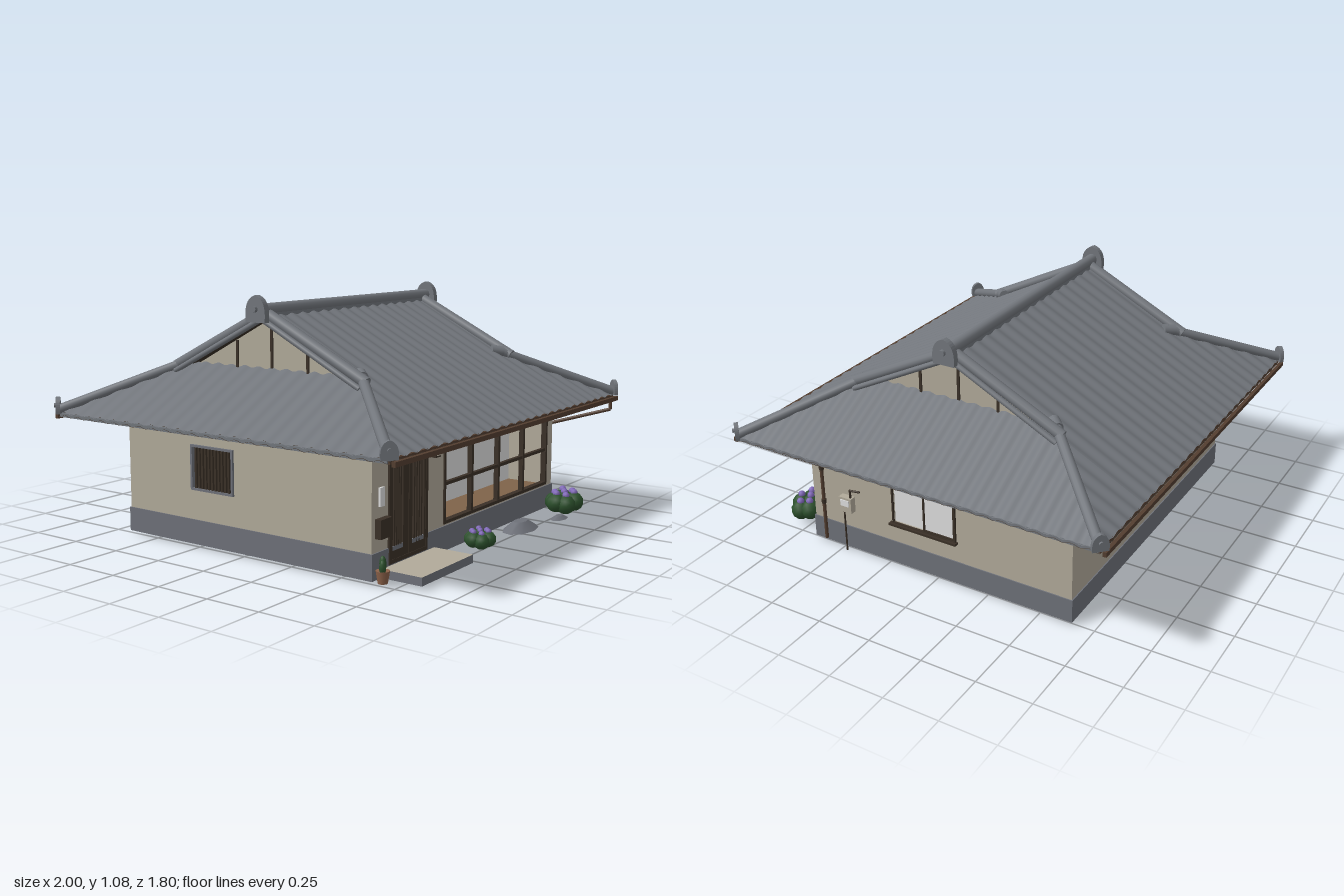
import * as THREE from 'three';

const mat = (name, color, side = THREE.FrontSide) => {
  const m = new THREE.MeshStandardMaterial({ color, side });
  m.name = name;
  return m;
};

export function createModel() {
  const root = new THREE.Group();
  const tile = mat('roof tile', 0x72767c, THREE.DoubleSide);
  const plaster = mat('plaster', 0xb1aa9a);
  const concrete = mat('concrete', 0x6e7179);
  const wood = mat('dark wood', 0x3a3027, THREE.DoubleSide);
  const copper = mat('gutter brown', 0x533e30);
  const boards = mat('floor boards', 0x7f6349);
  const paper = mat('paper and glass', 0xdedede);
  const leaf = mat('leaf green', 0x2c502c);
  const petal = mat('purple petal', 0x8068b8);
  const clay = mat('clay', 0x8c624a);

  const add = (name, geo, m, parent = root) => {
    const mesh = new THREE.Mesh(geo, m);
    mesh.name = name;
    parent.add(mesh);
    return mesh;
  };
  const group = (name, rotY = 0, parent = root) => {
    const g = new THREE.Group();
    g.name = name;
    g.rotation.y = rotY;
    parent.add(g);
    return g;
  };
  // Box given by its limits on each axis
  const box = (name, m, x0, x1, y0, y1, z0, z1, parent) => {
    const b = add(name, new THREE.BoxGeometry(x1 - x0, y1 - y0, z1 - z0), m, parent);
    b.position.set((x0 + x1) / 2, (y0 + y1) / 2, (z0 + z1) / 2);
    return b;
  };
  // Round bar between two points
  const rod = (name, m, a, b, r, parent, sides = 12) => {
    const p = new THREE.Vector3(...a), q = new THREE.Vector3(...b);
    const c = add(name, new THREE.CylinderGeometry(r, r, p.distanceTo(q), sides), m, parent);
    c.position.copy(p).add(q).multiplyScalar(0.5);
    c.quaternion.setFromUnitVectors(new THREE.Vector3(0, 1, 0), q.sub(p).normalize());
    return c;
  };

  // ---- Walls: each side is a group whose local +z points outward
  const side = (name, rot, half, out, holes) => {
    const g = group(name, rot);
    const s = new THREE.Shape();
    s.moveTo(-half, 0.1).lineTo(half, 0.1).lineTo(half, 0.65).lineTo(-half, 0.65).closePath();
    for (const [a, b, c, d] of holes) {
      const h = new THREE.Path();
      h.moveTo(a, c).lineTo(a, d).lineTo(b, d).lineTo(b, c).closePath();
      s.holes.push(h);
    }
    const geo = new THREE.ExtrudeGeometry(s, { depth: 0.02, bevelEnabled: false });
    geo.translate(0, 0, out - 0.02);
    add('wall', geo, plaster, g);
    return g;
  };
  const frame = (g, m, x0, x1, y0, y1, z0, z1, w) => {
    box('frameLeft', m, x0, x0 + w, y0, y1, z0, z1, g);
    box('frameRight', m, x1 - w, x1, y0, y1, z0, z1, g);
    box('frameTop', m, x0 + w, x1 - w, y1 - w, y1, z0, z1, g);
    box('frameBottom', m, x0 + w, x1 - w, y0, y0 + w, z0, z1, g);
  };
  const front = side('frontWall', 0, 0.76, 0.65, [[-0.64, -0.38, 0.11, 0.5], [-0.23, 0.69, 0.135, 0.505]]);
  const right = side('rightWall', Math.PI / 2, 0.65, 0.76, [[-0.21, 0.095, 0.225, 0.45]]);
  const back = side('backWall', Math.PI, 0.76, 0.65, [[-0.23, 0.08, 0.24, 0.4]]);
  const left = side('leftWall', -Math.PI / 2, 0.65, 0.76, [[-0.27, -0.05, 0.26, 0.44]]);
  for (const [g, half, out] of [[front, 0.765, 0.655], [right, 0.635, 0.765], [back, 0.765, 0.655], [left, 0.635, 0.765]])
    box('foundation', concrete, -half, half, 0.015, 0.122, out - 0.025, out, g);

  // ---- Sliding entrance door
  frame(front, wood, -0.65, -0.37, 0.055, 0.51, 0.625, 0.658, 0.016);
  for (const [x0, x1] of [[-0.634, -0.512], [-0.508, -0.386]]) {
    const inner = x0 < -0.6 ? [-0.624, -0.55] : [-0.485, -0.396];
    box('doorPane', paper, inner[0], inner[1], 0.1, 0.49, 0.637, 0.645, front);
    box('doorStile', wood, x0, inner[0], 0.071, 0.494, 0.63, 0.656, front);
    box('doorStile', wood, inner[1], x1, 0.071, 0.494, 0.63, 0.656, front);
    box('doorRail', wood, inner[0], inner[1], 0.071, 0.105, 0.63, 0.656, front);
    for (let i = 1; i <= 4; i++) {
      const x = inner[0] + (inner[1] - inner[0]) * i / 5;
      box('doorBar', wood, x - 0.004, x + 0.004, 0.105, 0.494, 0.645, 0.655, front);
    }
  }

  // ---- Veranda windows, floor and paper screen
  frame(front, wood, -0.24, 0.7, 0.13, 0.51, 0.63, 0.656, 0.014);
  box('windowLintel', wood, -0.25, 0.71, 0.505, 0.522, 0.635, 0.668, front);
  for (const x of [-0.005, 0.23, 0.465]) box('windowPost', wood, x - 0.008, x + 0.008, 0.14, 0.5, 0.632, 0.654, front);
  box('windowRail', wood, -0.23, 0.69, 0.293, 0.307, 0.634, 0.652, front);
  box('verandaFloor', boards, -0.24, 0.74, 0.1, 0.12, 0.43, 0.632);
  box('paperScreen', paper, -0.24, 0.74, 0.1, 0.52, 0.422, 0.43);

  // ---- Right window (local x runs towards the back)
  frame(right, wood, -0.218, 0.103, 0.217, 0.455, 0.745, 0.77, 0.006);
  box('windowSill', wood, -0.23, 0.11, 0.21, 0.22, 0.745, 0.782, right);
  box('windowPaneFront', paper, -0.212, -0.055, 0.223, 0.449, 0.748, 0.756, right);
  box('windowPaneBack', paper, -0.055, 0.097, 0.223, 0.449, 0.752, 0.76, right);
  frame(right, wood, -0.06, 0.097, 0.223, 0.449, 0.75, 0.767, 0.007);

  // ---- Left window with a lattice
  box('latticePane', paper, -0.27, -0.05, 0.26, 0.44, 0.742, 0.748, left);
  frame(left, concrete, -0.278, -0.042, 0.252, 0.448, 0.745, 0.77, 0.01);
  for (let i = 1; i < 12; i++) {
    const x = -0.27 + i * 0.0183;
    box('latticeBar', wood, x - 0.005, x + 0.005, 0.262, 0.438, 0.752, 0.766, left);
  }

  // ---- Small wall fittings
  box('intercom', paper, -0.715, -0.685, 0.3, 0.375, 0.65, 0.66, front);
  box('mailbox', wood, -0.738, -0.66, 0.178, 0.255, 0.65, 0.678, front);
  box('porchLamp', wood, -0.336, -0.298, 0.43, 0.472, 0.65, 0.672, front);
  box('lampGlass', plaster, -0.327, -0.307, 0.438, 0.462, 0.67, 0.677, front);
  box('meterBox', plaster, -0.487, -0.423, 0.208, 0.28, 0.76, 0.79, right);
  box('meterGlass', paper, -0.477, -0.433, 0.24, 0.27, 0.788, 0.794, right);
  rod('meterPipe', wood, [-0.473, 0, 0.775], [-0.473, 0.21, 0.775], 0.004, right);
  rod('meterCable', wood, [-0.435, 0.27, 0.775], [-0.435, 0.318, 0.775], 0.005, right);
  rod('meterCable', wood, [-0.435, 0.315, 0.775], [-0.39, 0.315, 0.765], 0.005, right);

  // ---- Roof: wavy slopes, columns run from the top line down to the eave
  const rise = 0.5175, eaveY = 0.553;
  const slope = (cols, eave) => {
    const pos = [], idx = [];
    cols.forEach(([s, top], i) => {
      const wave = 0.0045 * Math.cos(s * Math.PI * 2 / 0.075);
      pos.push(s, eaveY + rise * (eave - top) + wave, top, s, eaveY + wave, eave);
      if (i) idx.push(2 * i - 1, 2 * i + 1, 2 * i - 2, 2 * i + 1, 2 * i, 2 * i - 2);
    });
    const geo = new THREE.BufferGeometry();
    geo.setAttribute('position', new THREE.Float32BufferAttribute(pos, 3));
    geo.setIndex(idx);
    geo.computeVertexNormals();
    return geo;
  };
  const columns = (half, topAt, jump) => {
    const cols = [], n = 194;
    for (let i = 0; i <= n; i++) {
      const s = -half + 2 * half * i / n;
      cols.push([s, topAt(Math.abs(s))]);
    }
    if (jump) for (const k of [-1, 1]) cols.push([k * (jump + 1e-4), topAt(jump + 1e-4)], [k * jump, topAt(jump)]);
    return cols.sort((a, b) => a[0] - b[0]);
  };
  const mainSlope = slope(columns(0.97, x => (x > 0.6 ? x - 0.1 : 0), 0.6), 0.87);
  const sideSlope = slope(columns(0.87, z => Math.max(0.55, z + 0.1)), 0.97);
  for (const k of [0, 1]) {
    const main = group('mainRoof', k * Math.PI);
    const flank = group('sideRoof', Math.PI / 2 + k * Math.PI);
    for (const [g, geo] of [[main, mainSlope], [flank, sideSlope]]) {
      add('roofTiles', geo, tile, g);
      add('roofUnderside', geo, wood, g).position.y = -0.014;
    }
    box('eaveTiles', tile, -0.86, 0.86, 0.535, 0.552, 0.955, 0.968, flank);
    box('fascia', copper, -0.962, 0.962, 0.532, 0.551, 0.855, 0.867, main);
    box('gutter', copper, -0.965, 0.965, 0.525, 0.545, 0.877, 0.893, main);
  }

  // Rounded end tile with a boss
  const shield = new THREE.Shape();
  shield.moveTo(-0.05, 0).lineTo(0.05, 0).bezierCurveTo(0.058, 0.065, 0.042, 0.1, 0, 0.112)
    .bezierCurveTo(-0.042, 0.1, -0.058, 0.065, -0.05, 0);
  const shieldGeo = new THREE.ExtrudeGeometry(shield, { depth: 0.028, bevelEnabled: false, curveSegments: 10 });
  const endTile = (x, y, z, rotY, scale) => {
    const g = group('endTile', rotY);
    g.position.set(x, y, z);
    g.scale.setScalar(scale);
    add('endTileBody', shieldGeo, tile, g);
    rod('endTileBoss', tile, [0, 0.055, 0], [0, 0.055, 0.042], 0.014, g, 16);
  };

  // Ridge, verges, hips and gables
  box('ridgeBase', tile, -0.635, 0.635, 0.975, 1.02, -0.022, 0.022);
  rod('ridgeCap', tile, [-0.635, 1.018, 0], [0.635, 1.018, 0], 0.026);
  const gable = new THREE.Shape();
  gable.moveTo(-0.43, 0.755).lineTo(0.43, 0.755).lineTo(0, 0.98).closePath();
  const gableGeo = new THREE.ExtrudeGeometry(gable, { depth: 0.02, bevelEnabled: false });
  gableGeo.translate(0, 0, 0.535);
  for (const sx of [-1, 1]) {
    const end = group('gable', sx * Math.PI / 2);
    add('gableWall', gableGeo, plaster, end);
    for (const u of [-0.19, 0, 0.19])
      box('gablePost', wood, u - 0.006, u + 0.006, 0.75, 0.975 - rise * Math.abs(u), 0.55, 0.561, end);
    endTile(sx * 0.635, 0.968, 0, sx * Math.PI / 2, 1);
    for (const sz of [-1, 1]) {
      rod('vergeRoll', tile, [sx * 0.595, 1.005, 0], [sx * 0.595, 0.752, sz * 0.51], 0.024);
      rod('vergeEdge', tile, [sx * 0.622, 0.98, 0], [sx * 0.622, 0.73, sz * 0.495], 0.012);
      rod('hipRoll', tile, [sx * 0.97, 0.565, sz * 0.87], [sx * 0.545, 0.78, sz * 0.445], 0.022);
      rod('hipTopTile', tile, [sx * 0.575, 0.768, sz * 0.475], [sx * 0.535, 0.777, sz * 0.435], 0.026);
      endTile(sx * 0.962, 0.55, sz * 0.862, Math.atan2(sx, sz), 0.65);
    }
  }

  // ---- Downspout
  const spout = [[0.895, 0.53, 0.885], [0.895, 0.49, 0.885], [0.775, 0.4, 0.585], [0.775, 0.03, 0.585]];
  for (let i = 0; i < 3; i++) rod('downspout', copper, spout[i], spout[i + 1], 0.008);
  for (const y of [0.38, 0.21]) rod('downspoutClamp', wood, [0.775, y, 0.585], [0.775, y + 0.02, 0.585], 0.011);

  // ---- Doorstep, stones, pot and shrubs
  box('doorstep', [concrete, concrete, plaster, plaster, concrete, concrete], -0.7, -0.315, 0.015, 0.05, 0.655, 0.84);
  for (const [x, z, r, y, h, sides] of [[0.205, 0.78, 0.12, 0.035, 0.038, 9], [0.51, 0.82, 0.062, 0.025, 0.016, 8]]) {
    const s = add('gardenStone', new THREE.CylinderGeometry(r * 0.4, r, h, sides), concrete);
    s.position.set(x, y + h / 2, z);
    s.scale.z = 0.55;
  }
  const pot = add('flowerPot', new THREE.CylinderGeometry(0.028, 0.02, 0.05, 14), clay);
  pot.position.set(-0.757, 0.042, 0.7);
  for (const [dx, dy, dz] of [[0, 0.095, 0], [-0.013, 0.082, 0.008], [0.013, 0.082, -0.008]]) {
    const l = add('pottedPlant', new THREE.SphereGeometry(0.014, 8, 6), leaf);
    l.position.set(-0.757 + dx, dy, 0.7 + dz);
    l.scale.y = 2.2;
  }
  const shrub = (cx, cz, rx, rz, h) => {
    const g = group('shrub');
    for (let i = 0; i < 7; i++) {
      const a = i * Math.PI / 3 + 0.3, k = i < 6 ? 0.58 : 0, r = h * (i < 6 ? 0.46 : 0.52);
      const b = add('shrubLeaves', new THREE.IcosahedronGeometry(r, 1), leaf, g);
      b.position.set(cx + Math.cos(a) * rx * k, 0.025 + h * (0.46 + 0.06 * (i % 2)), cz + Math.sin(a) * rz * k);
      const f = add('shrubFlower', new THREE.IcosahedronGeometry(h * 0.17, 1), petal, g);
      f.position.set(b.position.x, b.position.y + r * 0.95, b.position.z);
    }
  };
  shrub(-0.128, 0.765, 0.07, 0.06, 0.075);
  shrub(0.64, 0.78, 0.105, 0.075, 0.1);

  return root;
}
